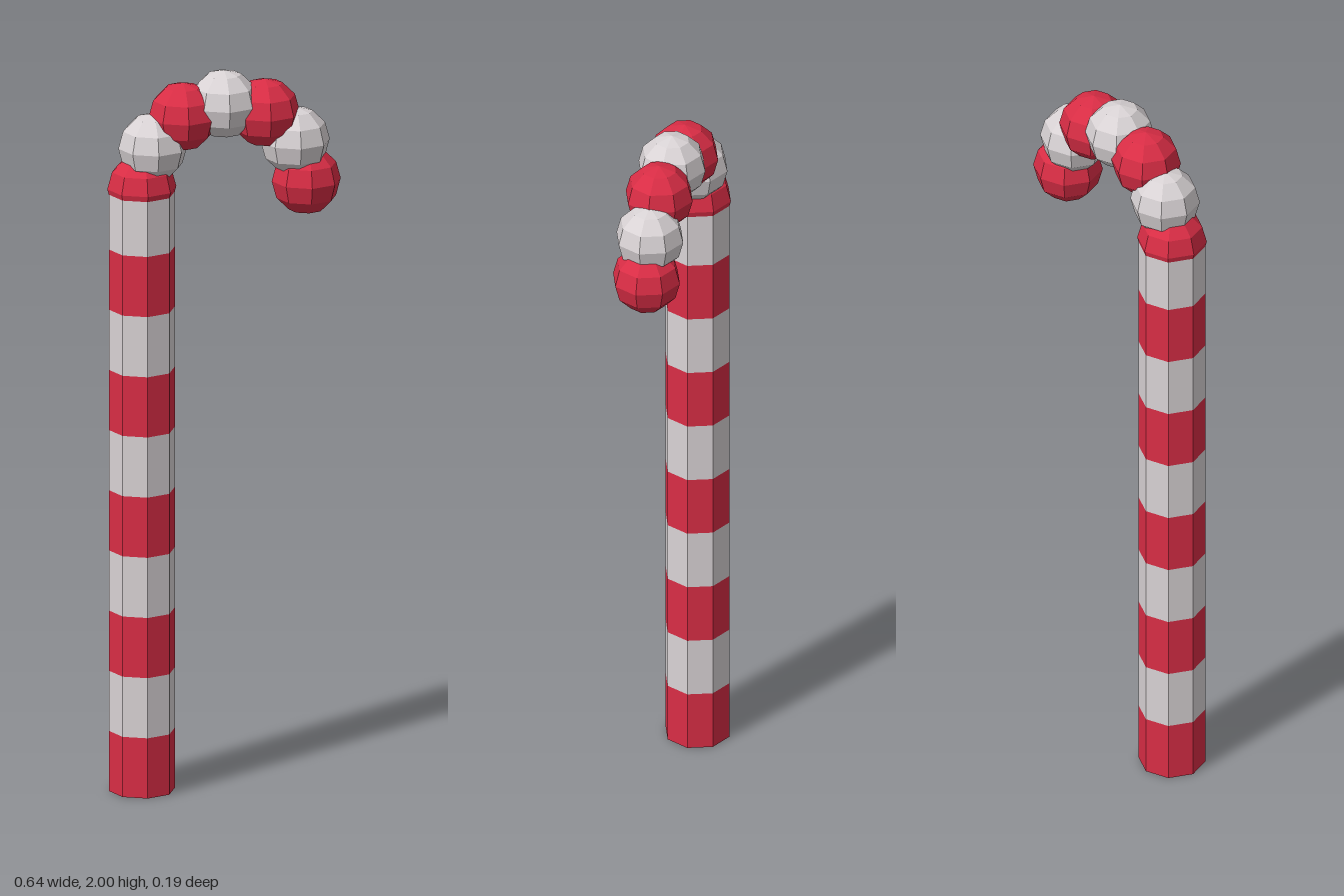
import * as THREE from 'three';

export function createModel() {
  const group = new THREE.Group();
  group.name = 'candyCane';

  const red = new THREE.MeshStandardMaterial({ color: 0xd92d45, flatShading: true });
  red.name = 'red';
  const white = new THREE.MeshStandardMaterial({ color: 0xd9d3d5, flatShading: true });
  white.name = 'white';

  const bendRadius = 0.224;
  const ballRadius = 0.094;
  const stemHeight = 2 - bendRadius - ballRadius;

  const add = (name, geometry, material, x, y) => {
    const mesh = new THREE.Mesh(geometry, material);
    mesh.name = name;
    mesh.position.set(x, y, 0);
    group.add(mesh);
  };

  // Straight stem: ten stacked eight-sided bands, closed only at its two ends
  const bands = 10;
  const bandHeight = stemHeight / bands;
  for (let i = 0; i < bands; i++) {
    const geometry = new THREE.CylinderGeometry(0.09, 0.09, bandHeight, 8, 1, i > 0 && i < bands - 1);
    add(`stemBand${i + 1}`, geometry, i % 2 ? white : red, -bendRadius, (i + 0.5) * bandHeight);
  }

  // Hook: seven overlapping faceted balls along a half circle
  const balls = 7;
  const ballGeometry = new THREE.SphereGeometry(ballRadius, 8, 6);
  for (let i = 0; i < balls; i++) {
    const a = (i / (balls - 1)) * Math.PI;
    add(`hookBall${i + 1}`, ballGeometry, i % 2 ? white : red,
      -Math.cos(a) * bendRadius, stemHeight + Math.sin(a) * bendRadius);
  }

  return group;
}
